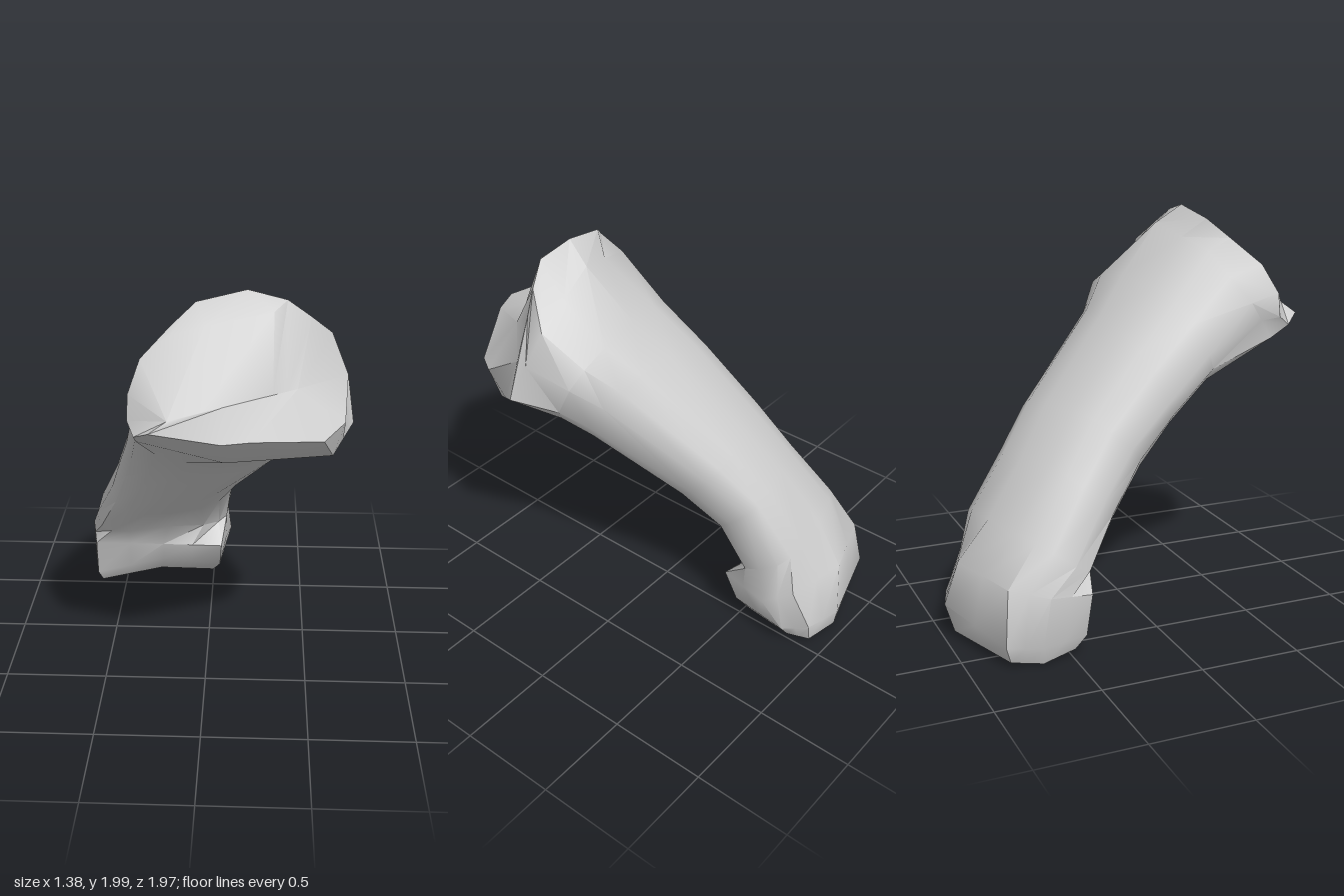
import * as THREE from 'three';
import { toCreasedNormals } from 'three/addons/utils/BufferGeometryUtils.js';

const SIDES = 16; // points per cross-section: right, back, left, front and three between each

// Rim of the large oblique joint face
const rim = [
  [0.66, 1.58, 0.36], [0.58, 1.78, 0.355], [0.48, 1.87, 0.41], [0.37, 1.96, 0.46],
  [0.31, 1.92, 0.52], [0, 1.86, 0.55], [-0.15, 1.83, 0.59], [-0.28, 1.74, 0.66],
  [-0.33, 1.6, 0.73], [-0.335, 1.48, 0.74], [-0.3, 1.43, 0.81], [-0.23, 1.475, 0.89],
  [0.09, 1.465, 0.98], [0.22, 1.46, 0.93], [0.54, 1.39, 0.73], [0.64, 1.43, 0.59],
];

// Bevelled lip above the joint face; elsewhere it follows the rim
const lip = rim.map((p) => [...p]);
lip[4] = [0.19, 2, 0.44];
lip[5] = [-0.04, 1.95, 0.47];
lip[6] = [-0.15, 1.86, 0.55];

// The hollow of the joint face runs along a slanting valley
const valleyStart = new THREE.Vector3(-0.15, 1.52, 0.85);
const valleyEnd = new THREE.Vector3(0.42, 1.59, 0.6);
const valley = rim.map(([x]) => {
  const t = THREE.MathUtils.clamp((x - valleyStart.x) / (valleyEnd.x - valleyStart.x), 0, 1);
  return valleyStart.clone().lerp(valleyEnd, t).toArray();
});

// Flare behind the rim, eight corners from +x round the back
const flare = [
  [0.69, 1.36, 0.4], [0.56, 1.71, 0.29], [0.22, 1.91, 0.31], [-0.16, 1.8, 0.42],
  [-0.335, 1.56, 0.58], [-0.3, 1.37, 0.71], [0.1, 1.31, 0.8], [0.59, 1.26, 0.57],
];

// Shaft stations: +x point, back point, -x point, front point, roundness of back and of front
const shaft = [
  [[0.6, 1.34, 0.17], [0.15, 1.66, 0.09], [-0.36, 1.33, 0.34], [0.06, 1.12, 0.34], 0.78, 1.1],
  [[0.48, 1.22, 0.08], [0.05, 1.48, -0.07], [-0.41, 1.12, 0.1], [0, 0.97, 0.17], 0.75, 1.1],
  [[0.22, 0.88, -0.33], [-0.1, 1.1, -0.42], [-0.47, 0.93, -0.12], [-0.1, 0.75, -0.06], 0.75, 1],
  [[0.12, 0.7, -0.5], [-0.2, 0.88, -0.58], [-0.54, 0.7, -0.3], [-0.2, 0.57, -0.26], 0.7, 0.85],
  [[0.08, 0.46, -0.66], [-0.27, 0.61, -0.78], [-0.65, 0.46, -0.48], [-0.25, 0.4, -0.44], 0.65, 0.6],
];

// Two rounded knuckles at the lower end, eight corners each
const knuckles = [
  [[0.1, 0.28, -0.7], [0.03, 0.36, -0.84], [-0.25, 0.41, -0.93], [-0.61, 0.38, -0.8],
    [-0.69, 0.34, -0.62], [-0.65, 0.31, -0.4], [-0.28, 0.27, -0.48], [0.05, 0.29, -0.43]],
  [[0.07, 0.13, -0.81], [0, 0.16, -0.93], [-0.18, 0.17, -0.985], [-0.66, 0.12, -0.83],
    [-0.69, 0.1, -0.66], [-0.65, 0.11, -0.43], [-0.28, 0.16, -0.52], [0.04, 0.14, -0.5]],
  [[0.01, 0.05, -0.81], [-0.03, 0.05, -0.92], [-0.22, 0.04, -0.95], [-0.63, 0.03, -0.8],
    [-0.66, 0.01, -0.65], [-0.63, 0.04, -0.48], [-0.3, 0.07, -0.58], [0, 0.07, -0.57]],
];
const endCentre = [-0.35, 0.06, -0.75];

// Rounded or squared-off oval through four points
function oval([right, back, left, front, backPower, frontPower]) {
  const keys = [right, back, left, front];
  const centre = [0, 1, 2].map((k) => keys.reduce((sum, p) => sum + p[k], 0) / 4);
  const ring = [];
  for (let j = 0; j < SIDES; j++) {
    const quarter = Math.floor(j / 4);
    const power = quarter < 2 ? backPower : frontPower;
    const t = ((j % 4) / 4) * Math.PI / 2;
    const a = keys[quarter], b = keys[(quarter + 1) % 4];
    const wa = Math.pow(Math.cos(t), power), wb = Math.pow(Math.sin(t), power);
    ring.push(centre.map((c, k) => c + wa * (a[k] - c) + wb * (b[k] - c)));
  }
  return ring;
}

// Octagon with a point added in the middle of every edge
function octagon(corners) {
  return corners.flatMap((p, i) => {
    const q = corners[(i + 1) % corners.length];
    return [p, p.map((v, k) => (v + q[k]) / 2)];
  });
}

function boneGeometry() {
  const rings = [valley, rim, lip, octagon(flare), ...shaft.map(oval), ...knuckles.map(octagon)];
  const points = [...rings.flat(), endCentre].map((p) => new THREE.Vector3(...p));
  const end = points.length - 1;
  const last = (rings.length - 1) * SIDES;
  const positions = [];
  // Triangles that collapse where two rings meet are left out
  const addTriangle = (...corners) => {
    const [a, b, c] = corners.map((i) => points[i]);
    if (new THREE.Triangle(a, b, c).getArea() < 1e-7) return;
    positions.push(...a, ...b, ...c);
  };
  for (let j = 0; j < SIDES; j++) {
    const n = (j + 1) % SIDES;
    // Joint face and skin between neighbouring rings
    for (let i = 0; i < rings.length - 1; i++) {
      const a = i * SIDES + j, b = i * SIDES + n;
      addTriangle(a, a + SIDES, b);
      addTriangle(b, a + SIDES, b + SIDES);
    }
    // Lower end
    addTriangle(end, last + n, last + j);
  }
  const geometry = new THREE.BufferGeometry();
  geometry.setAttribute('position', new THREE.Float32BufferAttribute(positions, 3));
  return toCreasedNormals(geometry, 0.7);
}

export function createModel() {
  const model = new THREE.Group();
  model.name = 'footBone';
  const bone = new THREE.Mesh(boneGeometry(), new THREE.MeshStandardMaterial({ color: 0xcccccc }));
  bone.name = 'bone';
  model.add(bone);
  return model;
}
